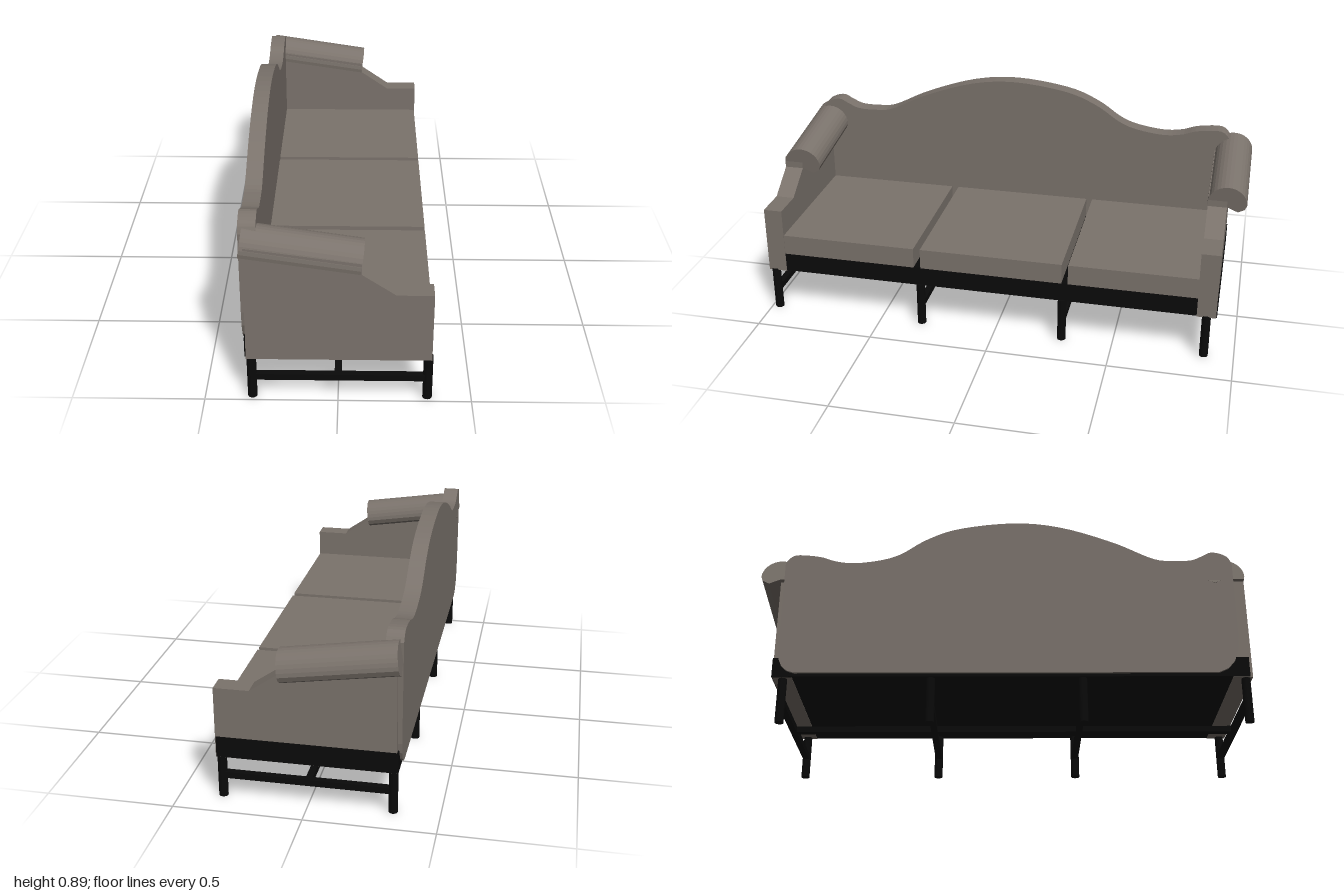
import * as THREE from 'three';

const fabric = new THREE.MeshStandardMaterial({ color: 0x7b736c });
fabric.name = 'taupe fabric';
const wood = new THREE.MeshStandardMaterial({ color: 0x0a0a0a });
wood.name = 'black wood';

export function createModel() {
  const sofa = new THREE.Group();
  sofa.name = 'sofa';

  const add = (name, geometry, material, x = 0, y = 0, z = 0) => {
    const mesh = new THREE.Mesh(geometry, material);
    mesh.name = name;
    mesh.position.set(x, y, z);
    sofa.add(mesh);
    return mesh;
  };
  // box given by its limits on each axis
  const box = (name, material, [x0, x1], [y0, y1], [z0, z1]) =>
    add(name, new THREE.BoxGeometry(x1 - x0, y1 - y0, z1 - z0), material,
      (x0 + x1) / 2, (y0 + y1) / 2, (z0 + z1) / 2);
  const extrude = (shape, depth, curveSegments = 12) =>
    new THREE.ExtrudeGeometry(shape, { depth, bevelEnabled: false, curveSegments });
  const vec = (list) => list.map(([a, b]) => new THREE.Vector2(a, b));

  // four leg pairs, each joined by a cross stretcher
  const legGeometry = new THREE.CylinderGeometry(0.018, 0.018, 0.19, 16);
  for (const z of [0.97, 0.32, -0.287, -0.878]) {
    add('frontLeg', legGeometry, wood, 0.335, 0.095, z);
    add('backLeg', legGeometry, wood, -0.322, 0.095, z);
    box('crossStretcher', wood, [-0.32, 0.335], [0.08, 0.106], [z - 0.013, z + 0.013]);
  }
  box('longStretcher', wood, [-0.013, 0.013], [0.08, 0.106], [-0.878, 0.97]);

  // seat frame and three cushions
  box('seatFrame', wood, [-0.345, 0.344], [0.187, 0.27], [-0.92, 0.985]);
  for (const span of [[0.345, 0.92], [-0.284, 0.316], [-0.84, -0.31]]) {
    box('seatCushion', fabric, [-0.295, 0.345], [0.268, 0.355], span);
  }

  // camel back: outline drawn in (-z, y), extruded along x
  const back = new THREE.Shape();
  back.moveTo(-0.86, 0.2);
  back.quadraticCurveTo(-0.95, 0.22, -0.95, 0.36);
  back.lineTo(-0.95, 0.69);
  back.splineThru(vec([
    [-0.93, 0.727], [-0.873, 0.746], [-0.83, 0.728], [-0.78, 0.708], [-0.7, 0.706], [-0.62, 0.718],
    [-0.46, 0.795], [-0.246, 0.867], [-0.048, 0.889], [0.18, 0.862], [0.316, 0.81],
    [0.42, 0.742], [0.5, 0.713], [0.61, 0.698], [0.69, 0.706], [0.76, 0.728], [0.86, 0.735], [0.9, 0.7],
  ]));
  back.lineTo(0.9, 0.3);
  back.quadraticCurveTo(0.9, 0.21, 0.83, 0.2);
  const backGeometry = extrude(back, 0.065, 4);
  backGeometry.rotateY(Math.PI / 2);
  add('backrest', backGeometry, fabric, -0.355);

  // arm panel: stepped side outline in (x, y)
  const arm = new THREE.Shape(vec([
    [-0.34, 0.185], [0.347, 0.185], [0.347, 0.47], [0.21, 0.47],
    [0.085, 0.556], [0.085, 0.6], [-0.335, 0.66],
  ]));
  const armGeometry = extrude(arm, 0.078);

  // sloping arm roll: rounded top with a curled lip, drawn in (-z, y)
  const roll = new THREE.Shape();
  roll.moveTo(-0.078, -0.015);
  roll.lineTo(0, -0.015);
  roll.lineTo(0.045, -0.035);
  roll.lineTo(0.072, -0.02);
  roll.lineTo(0.08, 0);
  roll.absarc(0, 0, 0.08, 0, Math.PI, false);
  const rollGeometry = extrude(roll, 0.44, 8);
  rollGeometry.rotateY(Math.PI / 2);
  rollGeometry.rotateZ(-0.15);

  // both arms curl the same way
  for (const z of [0.918, -0.917]) {
    add('armPanel', armGeometry, fabric, 0, 0, z);
    add('armRoll', rollGeometry, fabric, -0.352, 0.636, z);
  }
  return sofa;
}
